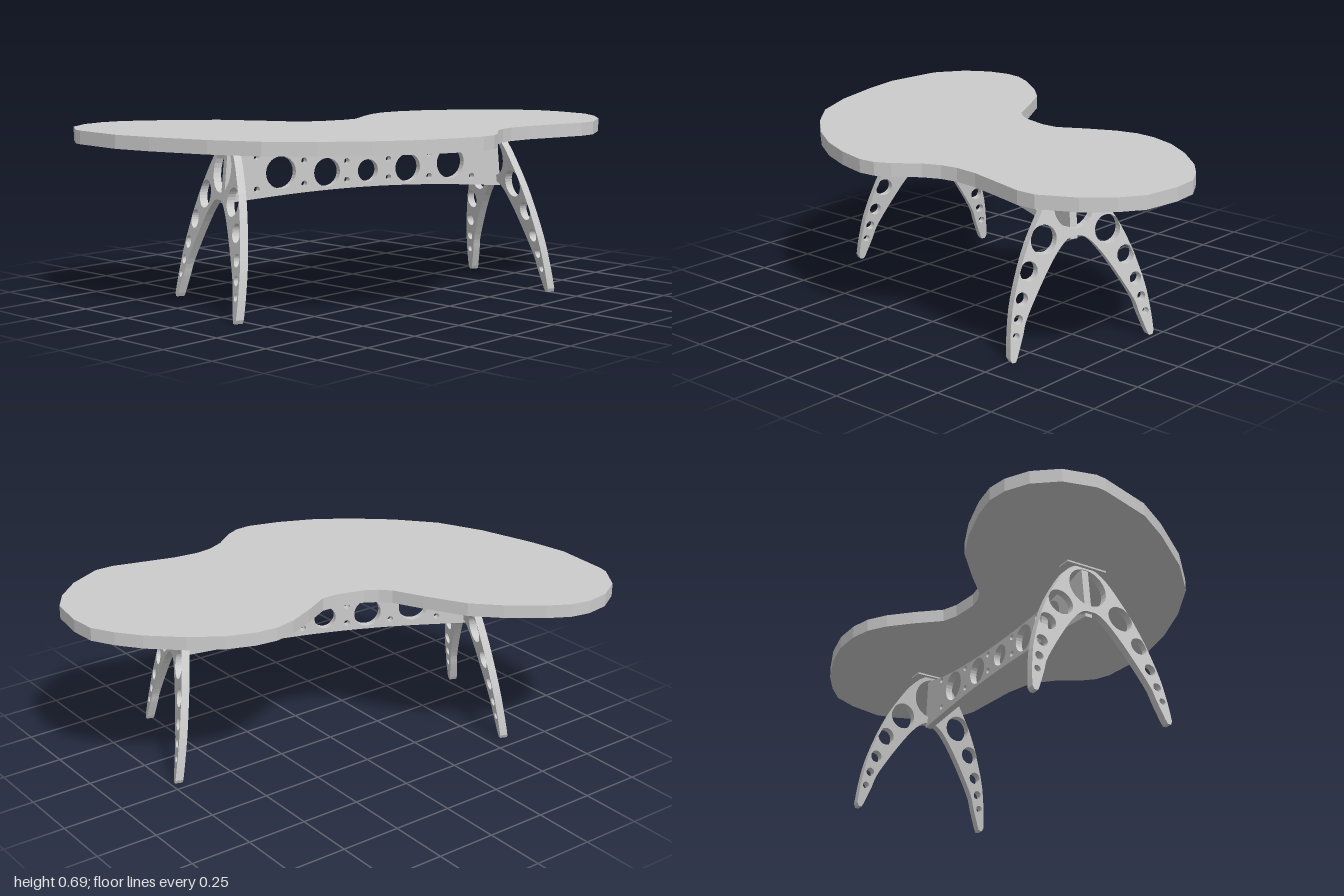
import * as THREE from 'three';

const V = (pts) => pts.map(([x, y]) => new THREE.Vector2(x, y));

// Adds a round hole to a shape
function punch(shape, x, y, r) {
  const hole = new THREE.Path();
  hole.absarc(x, y, r, 0, Math.PI * 2, true);
  shape.holes.push(hole);
}

// Extrudes a shape symmetrically about its own plane
function plate(shape, thickness) {
  const geo = new THREE.ExtrudeGeometry(shape, { depth: thickness, bevelEnabled: false, curveSegments: 14 });
  return geo.translate(0, 0, -thickness / 2);
}

// Freeform table top outline as [x, z]
const TOP = [
  [.29, -1], [.18, -.99], [.09, -.94], [0, -.87], [-.11, -.75], [-.19, -.63], [-.23, -.52], [-.24, -.43],
  [-.22, -.34], [-.17, -.23], [-.11, -.12], [-.11, -.05], [-.14, .06], [-.17, .11], [-.21, .15], [-.33, .21],
  [-.49, .3], [-.59, .4], [-.69, .53], [-.74, .62], [-.755, .7], [-.74, .8], [-.68, .9], [-.57, .975],
  [-.53, .985], [-.3, 1], [-.14, .97], [.1, .9], [.29, .81], [.44, .68], [.57, .53], [.66, .39],
  [.72, .25], [.755, .12], [.75, .05], [.72, -.01], [.65, -.1], [.62, -.17], [.61, -.24], [.62, -.34],
  [.66, -.49], [.69, -.6], [.69, -.68], [.62, -.82], [.53, -.92], [.44, -.98],
];

// Arched pair of legs, leaning outward towards the feet
function archGeometry() {
  const outer = [[.314, .015], [.306, .1], [.282, .224], [.218, .397], [.144, .526], [.088, .6], [.04, .632]];
  const inner = [[.284, .015], [.255, .09], [.227, .163], [.124, .325], [.05, .41]];
  const mirror = (pts) => pts.map(([x, y]) => [-x, y]).reverse();
  const over = new THREE.SplineCurve(V([...outer, [0, .638], ...mirror(outer)])).getPoints(48);
  const under = new THREE.SplineCurve(V([...mirror(inner).reverse(), [0, .425], ...inner.slice().reverse()])).getPoints(40);
  const shape = new THREE.Shape([
    ...V([[.292, 0], [.307, 0]]), ...over, ...V([[-.307, 0], [-.292, 0]]), ...under,
  ]);
  punch(shape, 0, .538, .085);
  const holes = [[.138, .432, .055], [.21, .325, .037], [.247, .228, .025], [.268, .155, .018], [.283, .095, .014]];
  for (const [x, y, r] of holes) for (const s of [-1, 1]) punch(shape, s * x, y, r);

  const geo = plate(shape, 0.032);
  const p = geo.attributes.position;
  for (let i = 0; i < p.count; i++) p.setZ(i, p.getZ(i) + 0.69 - 0.155 * p.getY(i));
  geo.computeVertexNormals();
  return geo;
}

// Waisted web joining the two arches
function beamGeometry() {
  const upper = new THREE.SplineCurve(V([[.605, .63], [.5, .602], [.28, .577], [0, .568], [-.28, .577], [-.5, .602], [-.605, .63]]));
  const lower = new THREE.SplineCurve(V([[-.625, .41], [-.3, .433], [0, .441], [.3, .433], [.625, .41]]));
  const shape = new THREE.Shape([...upper.getPoints(28), ...lower.getPoints(24)]);
  punch(shape, 0, .506, .045);
  for (const s of [-1, 1]) {
    punch(shape, s * .182, .508, .057);
    punch(shape, s * .382, .518, .064);
    for (const [x, hi, lo] of [[.094, .548, .473], [.282, .56, .468], [.485, .585, .457]]) {
      punch(shape, s * x, hi, .012);
      punch(shape, s * x, lo, .012);
    }
  }
  return plate(shape, 0.03).rotateY(-Math.PI / 2);
}

export function createModel() {
  const model = new THREE.Group();
  const material = new THREE.MeshStandardMaterial({ color: 0xcccccc });
  const add = (parent, name, geo) => {
    const mesh = new THREE.Mesh(geo, material);
    mesh.name = name;
    parent.add(mesh);
    return mesh;
  };

  // Table top
  const topShape = new THREE.Shape(V(TOP.map(([x, z]) => [x, -z])));
  const topGeo = new THREE.ExtrudeGeometry(topShape, { depth: 0.053, bevelEnabled: false });
  add(model, 'tableTop', topGeo.rotateX(-Math.PI / 2).translate(0, 0.638, 0));

  // Base, turned to follow the diagonal of the top
  const base = new THREE.Group();
  base.name = 'base';
  base.position.set(0.09, 0, 0.035);
  base.rotation.y = -0.355;
  model.add(base);

  add(base, 'beam', beamGeometry());
  const arch = archGeometry();
  const mount = new THREE.BoxGeometry(0.18, 0.008, 0.06).translate(0, 0.635, 0.592);
  for (const [side, turn] of [['front', 0], ['back', Math.PI]]) {
    add(base, side + 'LegArch', arch).rotation.y = turn;
    add(base, side + 'MountingPlate', mount).rotation.y = turn;
  }
  return model;
}
